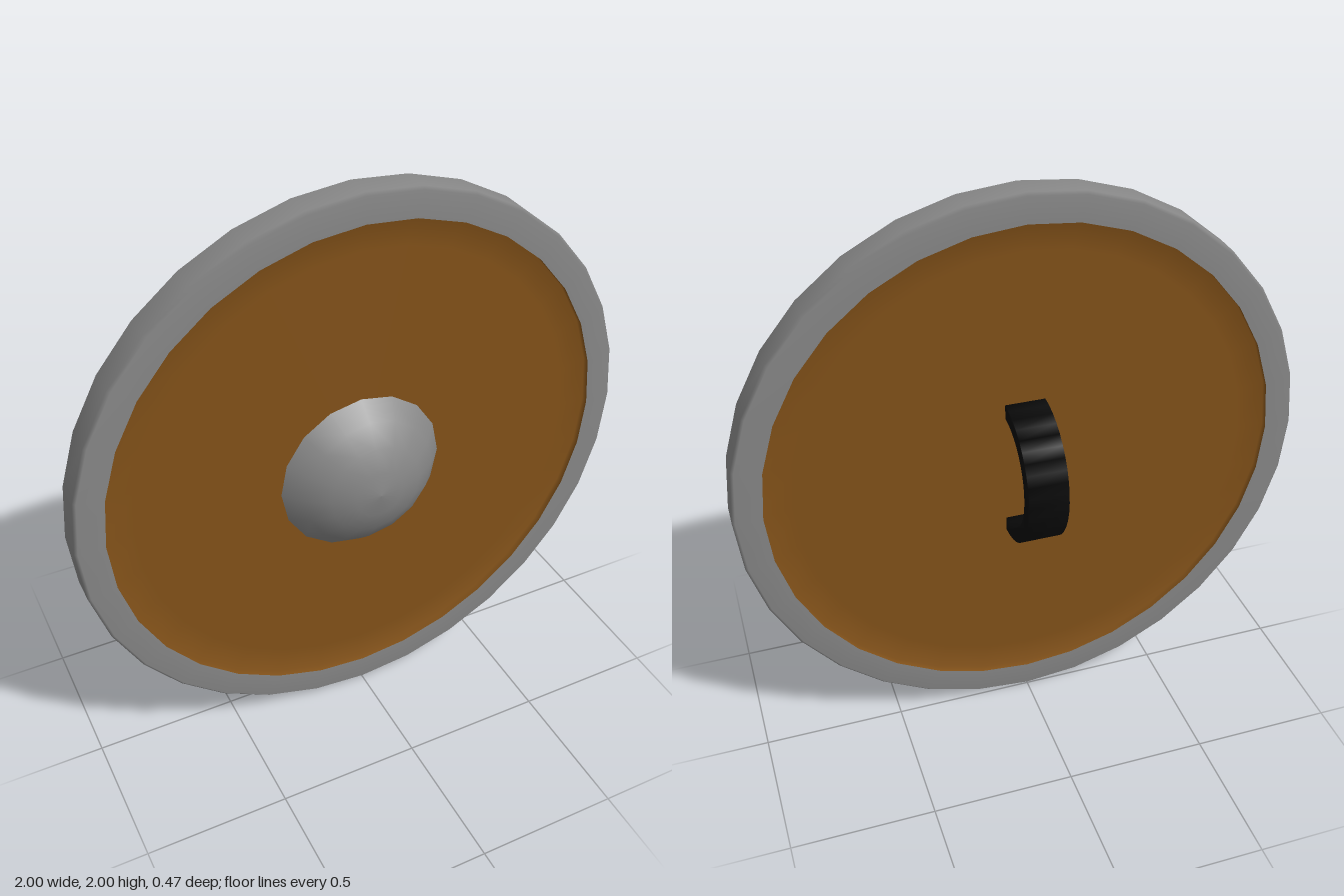
import * as THREE from 'three';
import { toCreasedNormals } from 'three/addons/utils/BufferGeometryUtils.js';

const SIDES = 32;
const CENTRE_Y = 1;

// Profile of [radius, z] points turned around the z axis
function turned(name, profile, sides, material) {
  const points = profile.map(([r, z]) => new THREE.Vector2(r, z));
  const geometry = new THREE.LatheGeometry(points, sides);
  geometry.rotateX(Math.PI / 2);
  const mesh = new THREE.Mesh(geometry, material);
  mesh.name = name;
  mesh.position.y = CENTRE_Y;
  return mesh;
}

export function createModel() {
  const group = new THREE.Group();
  group.name = 'roundShield';
  const metal = new THREE.MeshStandardMaterial({ color: 0x888888 });
  const wood = new THREE.MeshStandardMaterial({ color: 0x835219 });
  const leather = new THREE.MeshStandardMaterial({ color: 0x0a0a0a });

  // Metal rim with softened outer corners
  group.add(turned('rim', [
    [0.9, -0.005], [0.99, -0.005], [1, 0.005],
    [1, 0.1], [0.99, 0.11], [0.9, 0.11],
  ], SIDES, metal));

  // Wooden board, slightly recessed on both sides
  group.add(turned('boardFront', [[0.9, 0.11], [0.9, 0.085], [0.8, 0.085], [0, 0.085]], SIDES, wood));
  group.add(turned('boardBack', [[0, 0.02], [0.8, 0.02], [0.9, 0.02], [0.9, -0.005]], SIDES, wood));

  // Central boss: a shallow spherical cap, a little below centre
  const capRadius = 0.365, apex = 0.235;
  const halfAngle = Math.asin(0.295 / capRadius);
  const cap = [];
  for (let i = 0; i <= 4; i++) {
    const a = halfAngle * (1 - i / 4);
    cap.push([capRadius * Math.sin(a), apex - capRadius * (1 - Math.cos(a))]);
  }
  const boss = turned('boss', cap, 16, metal);
  boss.position.y = 0.972;
  group.add(boss);

  // Strap handle: half of a flat ring on the back, shaded softly across its edges
  const arc = new THREE.Shape();
  arc.absarc(0, 0, 0.257, -Math.PI / 2, Math.PI / 2, false);
  arc.absarc(0, 0, 0.205, Math.PI / 2, -Math.PI / 2, true);
  arc.closePath();
  const width = 0.14;
  const strap = new THREE.ExtrudeGeometry(arc, { depth: width, bevelEnabled: false, curveSegments: 10 });
  strap.translate(0, 0, -width / 2);
  strap.rotateY(Math.PI / 2);
  const handle = new THREE.Mesh(toCreasedNormals(strap, 1.7), leather);
  handle.name = 'handle';
  handle.position.set(0, CENTRE_Y + 0.003, 0.022);
  group.add(handle);

  return group;
}
